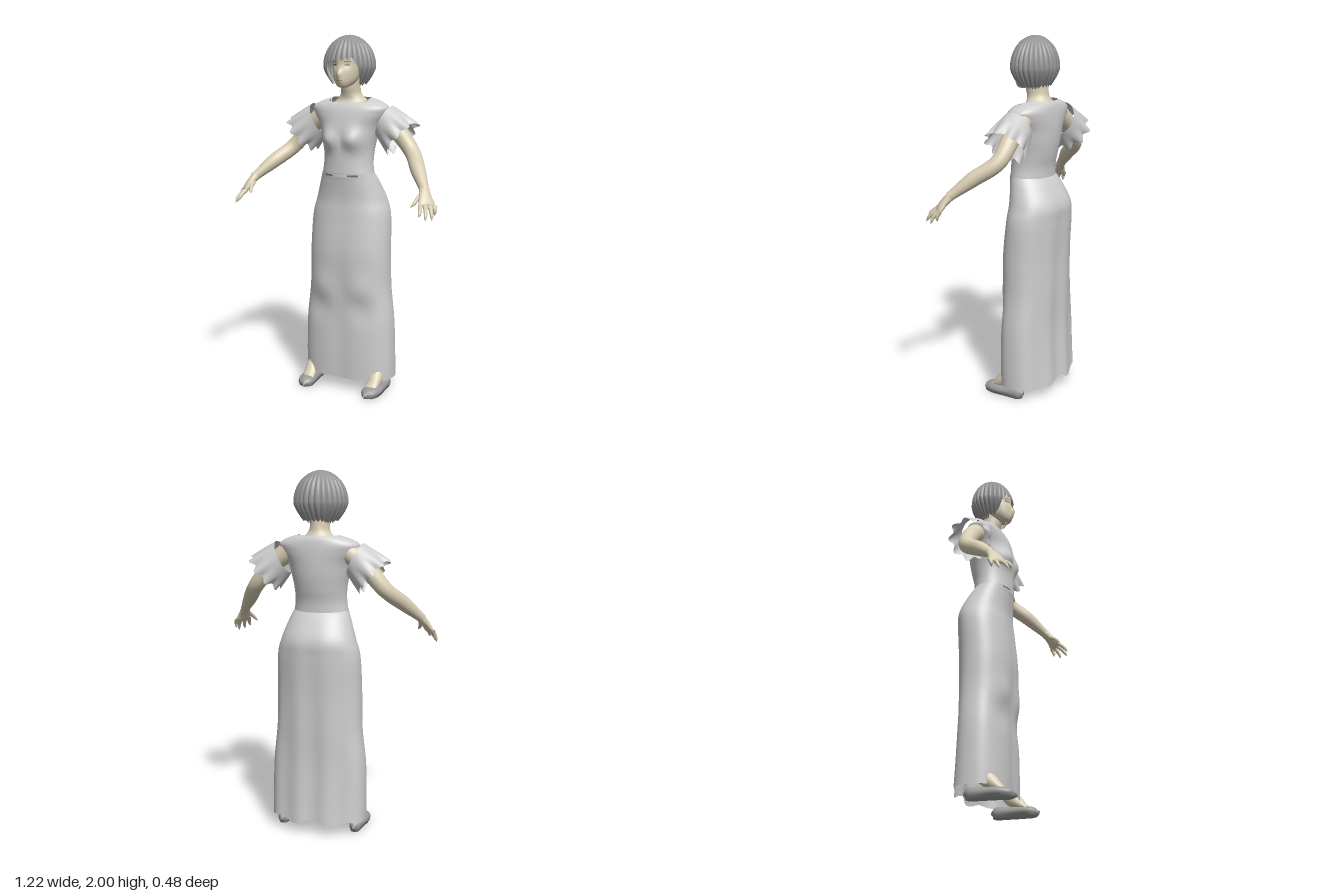
import * as THREE from 'three';
import { ParametricGeometry } from 'three/addons/geometries/ParametricGeometry.js';

const V = (x, y, z) => new THREE.Vector3(x, y, z);
const mat = (name, color) =>
  new THREE.MeshStandardMaterial({ name, color, side: THREE.DoubleSide });
const gauss = (dx, dy, s) => Math.exp(-(dx * dx + dy * dy) / (2 * s * s));
const spow = (v, p) => Math.sign(v) * Math.abs(v) ** p;

// Smooth interpolation through a list of number rows, t from 0 to 1
function spline(rows, t) {
  const n = rows.length - 1;
  const i = Math.min(Math.max(Math.floor(t * n), 0), n - 1);
  const k = t * n - i;
  const row = j => rows[Math.min(Math.max(j, 0), n)];
  return rows[i].map((p1, c) => {
    const p0 = row(i - 1)[c], p2 = row(i + 1)[c], p3 = row(i + 2)[c];
    return p1 + 0.5 * k * (p2 - p0 + k * (2 * p0 - 5 * p1 + 4 * p2 - p3 + k * (3 * (p1 - p2) + p3 - p0)));
  });
}

// Body surface from rings [y, halfWidth, frontZ, backZ, squareness]; angle 0 faces the front
function ringSurface(rings, adjust = () => {}) {
  return (a, t) => {
    const [y, w, f, b, e] = spline(rings, t);
    const p = V(w * spow(Math.sin(a), 2 / e), y, (f + b) / 2 + (f - b) / 2 * spow(Math.cos(a), 2 / e));
    adjust(p, a, t);
    return p;
  };
}

// Tube along points, radii given as [across, thick], ref sets the across direction
function sweepSurface(points, radii, ref) {
  const curve = new THREE.CatmullRomCurve3(points);
  return (a, t) => {
    const T = curve.getTangent(t);
    const e1 = ref.clone().addScaledVector(T, -ref.dot(T)).normalize();
    const e2 = T.clone().cross(e1);
    const [r1, r2] = spline(radii, t);
    return curve.getPoint(t).addScaledVector(e1, r1 * Math.cos(a)).addScaledVector(e2, r2 * Math.sin(a));
  };
}

export function createModel() {
  const model = new THREE.Group();
  const dress = mat('dress grey', 0xcecece);
  const hairMat = mat('hair grey', 0x949494);
  const shoeMat = mat('shoe grey', 0x9a9a9a);
  const skin = mat('skin', 0xd9ceb4);
  const dark = mat('dark grey', 0x686868);
  const lip = mat('lip', 0xb59c88);

  // Mesh over an angle/height range; side -1 mirrors it across x
  function add(name, S, material, nu, nv, side = 1, range = [-Math.PI, Math.PI, 0, 1], lift = 0) {
    const [a0, a1, t0, t1] = range;
    const geo = new ParametricGeometry((u, v, out) => {
      const k = side < 0 ? 1 - u : u;
      out.copy(S(a0 + (a1 - a0) * k, t0 + (t1 - t0) * v));
      out.x *= side;
      out.z += lift;
    }, nu, nv);
    const mesh = new THREE.Mesh(geo, material);
    mesh.name = name;
    model.add(mesh);
  }

  // Skirt with soft knee folds and a wavy back hem
  const skirt = ringSurface([
    [0.07, 0.27, 0.06, -0.23, 2.5], [0.2, 0.27, 0.06, -0.222, 2.5], [0.4, 0.264, 0.057, -0.215, 2.5],
    [0.6, 0.243, 0.058, -0.22, 2.4], [0.8, 0.239, 0.066, -0.225, 2.3], [1.0, 0.233, 0.05, -0.238, 2.2],
    [1.1, 0.207, 0.042, -0.238, 2.2], [1.2, 0.173, 0.05, -0.19, 2.1], [1.25, 0.153, 0.058, -0.155, 2],
  ], (p, a, t) => {
    const front = Math.max(Math.cos(a), 0), back = Math.max(-Math.cos(a), 0);
    p.z += front * 0.014 * (gauss(Math.abs(p.x) - 0.13, p.y - 0.6, 0.06) - gauss(Math.abs(p.x) - 0.14, p.y - 0.48, 0.06));
    p.z -= front * 0.008 * gauss(p.x, 0, 0.04) * (1 - t);
    p.z += back * 0.008 * Math.cos(p.x * 38) * (1 - t);
    p.y += back * 0.016 * Math.cos(p.x * 30) * (1 - t) ** 8;
  });
  add('skirt', skirt, dress, 72, 64);

  // Bodice with bust, sloping shoulders and a scooped neckline
  const bodice = ringSurface([
    [1.23, 0.155, 0.058, -0.158, 2], [1.3, 0.145, 0.056, -0.162, 2], [1.37, 0.147, 0.055, -0.178, 2],
    [1.44, 0.16, 0.055, -0.19, 2], [1.51, 0.18, 0.052, -0.195, 2], [1.57, 0.215, 0.04, -0.195, 2.1],
    [1.61, 0.225, 0.026, -0.192, 2.2], [1.64, 0.18, 0.008, -0.186, 2.2], [1.66, 0.115, -0.003, -0.175, 2.2],
  ], (p, a, t) => {
    const front = Math.max(Math.cos(a), 0);
    p.z += Math.sqrt(front) * 0.036 * gauss(Math.abs(p.x) - 0.08, p.y - 1.435, 0.04);
    p.y -= 0.042 * front * t ** 14;
  });
  add('bodice', bodice, dress, 72, 56);
  for (const s of [1, -1]) {
    add('waistSlot', bodice, dark, 8, 2, s, [0.3, 0.72, 0.01, 0.03], 0.004);
    add('necklineSlot', bodice, dark, 8, 2, s, [0.75, 1.2, 0.965, 1], 0.004);
  }

  // Neck and upper chest
  add('neck', ringSurface([
    [1.56, 0.16, -0.01, -0.17, 2], [1.62, 0.12, -0.012, -0.168, 2], [1.65, 0.085, -0.025, -0.16, 2],
    [1.68, 0.058, -0.022, -0.145, 2], [1.72, 0.052, -0.01, -0.14, 2], [1.78, 0.052, 0, -0.14, 2],
  ]), skin, 40, 24);

  // Head with nose
  const head = ringSurface([
    [1.715, 0.004, 0.025, 0.015, 2], [1.722, 0.03, 0.045, -0.02, 2], [1.74, 0.05, 0.054, -0.07, 2],
    [1.765, 0.064, 0.057, -0.1, 2], [1.8, 0.074, 0.057, -0.13, 2], [1.84, 0.079, 0.051, -0.14, 2],
    [1.89, 0.081, 0.045, -0.15, 2], [1.94, 0.06, 0.012, -0.12, 2], [1.965, 0.004, -0.04, -0.06, 2],
  ], (p, a) => {
    if (Math.cos(a) < 0) return;
    p.z += 0.018 * gauss(p.x, (p.y - 1.79) * 0.6, 0.01) + 0.006 * gauss(p.x, p.y - 1.757, 0.014);
    p.z -= 0.005 * gauss(Math.abs(p.x) - 0.036, p.y - 1.838, 0.013);
  });
  add('head', head, skin, 80, 56);
  for (const s of [1, -1]) {
    add('eye', head, dark, 8, 3, s, [0.32, 0.68, 0.612, 0.632], 0.003);
    add('eyebrow', head, hairMat, 8, 2, s, [0.28, 0.74, 0.665, 0.675], 0.003);
  }
  add('mouth', head, lip, 8, 3, 1, [-0.32, 0.32, 0.325, 0.345], 0.003);

  // Bobbed hair with radiating locks and a fringe that frames the face
  const hair = (scale, fringe, nape, open, closed) => (a, t) => {
    const lock = Math.abs(Math.sin(13 * a));
    const k = THREE.MathUtils.smoothstep(Math.abs(a), open, closed);
    const hem = fringe + (nape - fringe) * k - 0.014 * lock + 0.012 * Math.sin(a) * (1 - k);
    const s = Math.sin(t * Math.PI / 2);
    const y = hem + (2 - 0.1 * (1 - scale) - hem) * s;
    const h = y - 1.83;
    let r = h > 0 ? Math.sqrt(Math.max(1 - (h / 0.17) ** 2, 0.0002)) : 1 - 0.38 * (-h / 0.1) ** 1.5;
    r *= scale * (0.965 + 0.06 * lock * Math.min(1, 3 * (1 - s) + 0.4));
    return V(0.147 * r * Math.sin(a), y, -0.062 + 0.123 * r * Math.cos(a));
  };
  add('hair', hair(1, 1.875, 1.745, 0.5, 1.05), hairMat, 182, 28);
  add('napeHair', hair(0.82, 1.9, 1.735, 1.1, 1.6), hairMat, 156, 12);

  const up = V(0, 1, 0), across = V(1, 0, 0);
  for (const s of [1, -1]) {
    // Flared ruffled sleeve
    add('sleeve', (a, t) => {
      const wave = t * t * Math.cos(9 * a);
      const flare = 1 + 0.09 * wave;
      const c = Math.cos(a) * flare, bulge = 0.015 * Math.sin(Math.PI * t);
      return V(0.205 + 0.105 * t + (0.042 + 0.033 * t) * c + 0.008 * wave,
        1.535 - 0.088 * t + (0.085 + bulge * 0.3) * c - 0.006 * wave,
        -0.09 + (0.088 + 0.024 * t) * Math.sin(a) * flare);
    }, dress, 108, 20, s);

    // Arm and hand
    add('arm', sweepSurface(
      [V(0.17, 1.57, -0.1), V(0.27, 1.49, -0.1), V(0.37, 1.375, -0.085), V(0.45, 1.29, 0.015), V(0.53, 1.2, 0.11)],
      [[0.055, 0.055], [0.05, 0.05], [0.043, 0.043], [0.04, 0.04], [0.025, 0.025]], up), skin, 24, 32, s);
    const spread = V(0.055, -0.005, -0.06);
    add('palm', sweepSurface(
      [V(0.52, 1.21, 0.1), V(0.542, 1.172, 0.132), V(0.56, 1.135, 0.153), V(0.567, 1.12, 0.162)],
      [[0.026, 0.024], [0.036, 0.02], [0.047, 0.015], [0.036, 0.004]], spread), skin, 20, 12, s);
    const tips = [V(0.55, 1.08, 0.235), V(0.582, 1.064, 0.225), V(0.6, 1.06, 0.18), V(0.596, 1.08, 0.137)];
    const digits = tips.map((tip, i) => [V(0.535, 1.135, 0.183).addScaledVector(spread, i / 3), tip]);
    digits.push([V(0.515, 1.18, 0.13), V(0.489, 1.12, 0.205)]);
    for (const [base, tip] of digits) {
      const mid = base.clone().lerp(tip, 0.55).add(V(0.005, 0.004, 0.004));
      add('finger', sweepSurface([base, mid, tip],
        [[0.012, 0.012], [0.011, 0.011], [0.01, 0.01], [0.008, 0.008], [0.001, 0.001]], V(1, 0, -1)), skin, 10, 12, s);
    }

    // Leg with instep
    add('leg', sweepSurface(
      [V(0.13, 0.7, -0.08), V(0.18, 0.35, -0.085), V(0.208, 0.13, -0.035), V(0.206, 0.075, 0.02), V(0.2, 0.04, 0.075)],
      [[0.06, 0.06], [0.055, 0.055], [0.036, 0.045], [0.038, 0.035], [0.034, 0.015]], across), skin, 24, 28, s);

    // Flat shoe with a level sole
    const shoe = sweepSurface(
      [V(0.216, 0.033, -0.135), V(0.215, 0.033, -0.11), V(0.213, 0.029, -0.03), V(0.21, 0.027, 0.05), V(0.2, 0.022, 0.105), V(0.194, 0.018, 0.14)],
      [[0.008, 0.01], [0.03, 0.033], [0.04, 0.031], [0.05, 0.031], [0.042, 0.026], [0.004, 0.006]], across);
    add('shoe', (a, t) => {
      const p = shoe(a, t);
      p.y = Math.max(p.y < 0.014 ? p.y - 0.008 : p.y, 0);
      return p;
    }, shoeMat, 32, 30, s);
  }
  return model;
}
